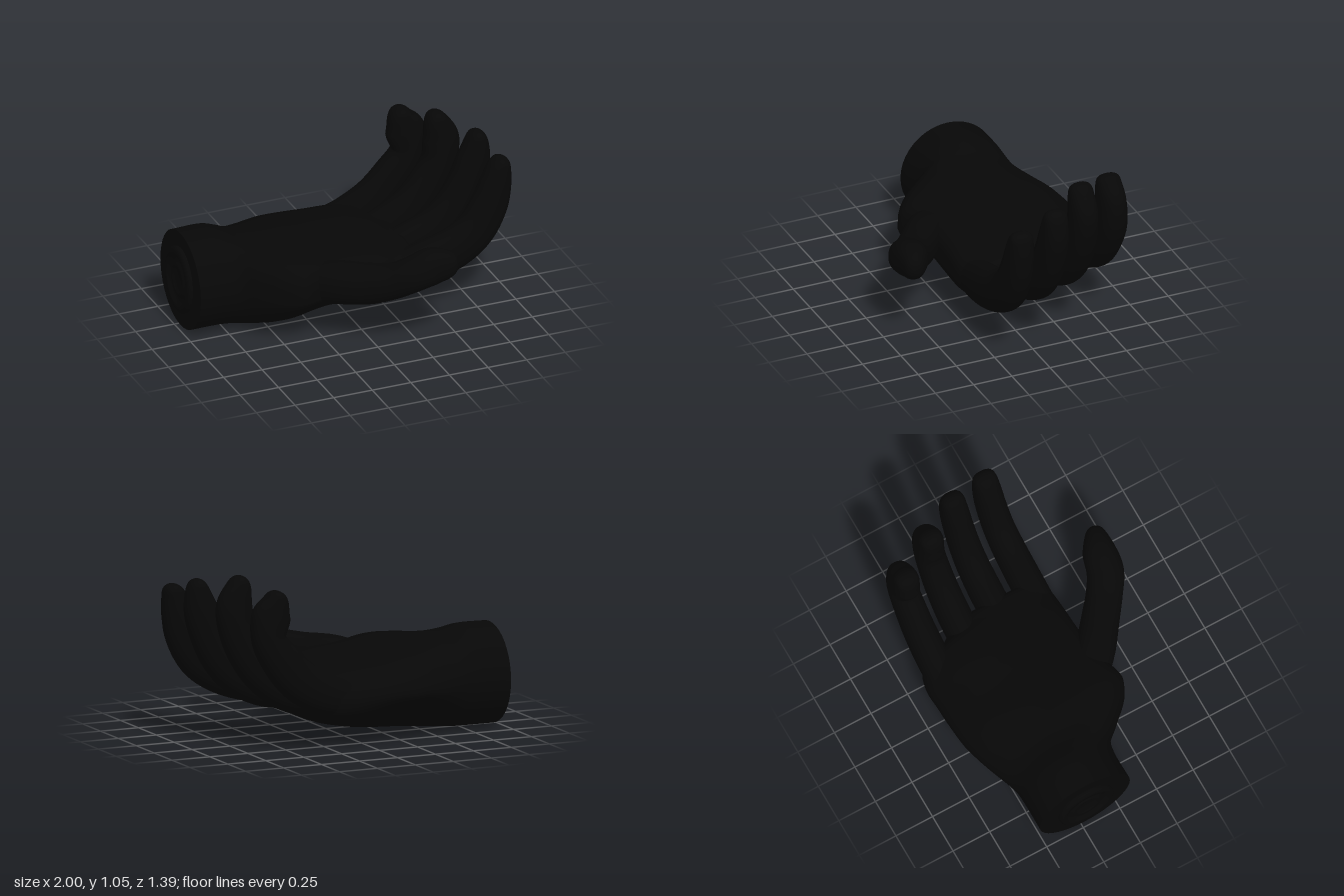
import * as THREE from 'three';

const black = new THREE.MeshStandardMaterial({ color: 0x070707 });
black.name = 'matte black';

const SIDES = 40;
const spow = (v, n) => Math.sign(v) * Math.pow(Math.abs(v), 2 / n);
const ringOf = (fn) => Array.from({ length: SIDES }, (_, j) => {
  const a = (j / SIDES) * Math.PI * 2;
  return fn(Math.cos(a), Math.sin(a));
});

// Skin closed rings of points into a smooth surface with flat end caps
function skin(rings) {
  const pos = [], index = [], n = SIDES;
  const push = (p) => pos.push(p.x, p.y, p.z);
  rings.forEach((r) => r.forEach(push));
  for (let i = 0; i < rings.length - 1; i++) {
    for (let j = 0; j < n; j++) {
      const k = (j + 1) % n, a = i * n + j, b = a + n, c = i * n + k, d = c + n;
      index.push(a, b, c, b, d, c);
    }
  }
  [rings[0], rings[rings.length - 1]].forEach((ring, end) => {
    const base = pos.length / 3;
    ring.forEach(push);
    push(ring.reduce((s, p) => s.add(p), new THREE.Vector3()).divideScalar(n));
    for (let j = 0; j < n; j++) {
      const k = (j + 1) % n;
      index.push(base + n, base + (end ? k : j), base + (end ? j : k));
    }
  });
  const g = new THREE.BufferGeometry();
  g.setAttribute('position', new THREE.Float32BufferAttribute(pos, 3));
  g.setIndex(index);
  g.computeVertexNormals();
  return g;
}

// Sweep an oval along a curve with a rounded tip;
// stations are [x, y, z, half width, half thickness]
function digit(stations, sideHint) {
  const path = new THREE.CatmullRomCurve3(stations.map((s) => new THREE.Vector3(s[0], s[1], s[2])));
  const size = new THREE.CatmullRomCurve3(
    stations.map((s, i) => new THREE.Vector3(s[3], s[4], i * 0.1)), false, 'catmullrom', 0.5);
  const rings = [];
  for (let i = 0; i <= 44; i++) {
    const t = 1 - Math.pow(1 - i / 44, 1.6);
    const p = path.getPoint(t), s = size.getPoint(t), T = path.getTangent(t);
    const S = sideHint.clone().addScaledVector(T, -T.dot(sideHint)).normalize();
    const N = S.clone().cross(T);
    const u = Math.max(0, (t - 0.88) / 0.12);
    const round = Math.max(0.05, Math.sqrt(1 - u ** 4));
    rings.push(ringOf((c, sn) => p.clone()
      .addScaledVector(S, s.x * round * spow(c, 2.3))
      .addScaledVector(N, s.y * round * spow(sn, 2.3))));
  }
  return skin(rings);
}

// Wrist and palm: [x, z min, z max, y bottom, y widest, y top,
// roundness power below, above on the little finger side, above on the thumb side]
const palmSections = [
  [-0.97, -0.53, 0.085, 0, 0.305, 0.613, 2, 2, 2],
  [-0.78, -0.53, 0.085, 0, 0.305, 0.613, 2, 2, 2],
  [-0.7, -0.535, 0.105, 0, 0.3, 0.587, 2, 2, 2.3],
  [-0.62, -0.56, 0.19, 0, 0.29, 0.557, 1.8, 2, 2.8],
  [-0.5, -0.61, 0.31, 0.003, 0.29, 0.547, 1.55, 2, 3.2],
  [-0.4, -0.645, 0.355, 0.01, 0.3, 0.54, 1.45, 2, 3.6],
  [-0.3, -0.67, 0.33, 0.02, 0.3, 0.53, 1.45, 2, 4],
  [-0.15, -0.685, 0.29, 0.035, 0.3, 0.507, 1.55, 2, 4],
  [0, -0.69, 0.275, 0.06, 0.29, 0.495, 1.9, 2, 4],
  [0.14, -0.69, 0.27, 0.093, 0.28, 0.482, 2.3, 2.1, 3.6],
  [0.25, -0.645, 0.265, 0.122, 0.28, 0.46, 2.7, 2.3, 3],
  [0.32, -0.47, 0.255, 0.15, 0.29, 0.44, 2.8, 2.6, 2.8],
  [0.38, -0.39, 0.235, 0.175, 0.3, 0.42, 2.8, 2.6, 2.6],
  [0.4, -0.36, 0.2, 0.205, 0.3, 0.39, 2.6, 2.6, 2.6],
];

function palmGeometry() {
  const rings = palmSections.map(([x, z0, z1, y0, ym, y1, nLow, nLittle, nThumb]) => ringOf((c, s) => {
    const n = s < 0 ? nLow : c < 0 ? nLittle : nThumb;
    return new THREE.Vector3(x,
      ym + (s >= 0 ? y1 - ym : ym - y0) * spow(s, n),
      (z0 + z1) / 2 + ((z1 - z0) / 2) * spow(c, n));
  }));
  // Smooth the sections lengthwise
  const rails = rings[0].map((_, j) => new THREE.CatmullRomCurve3(rings.map((r) => r[j])));
  const steps = (rings.length - 1) * 4;
  return skin(Array.from({ length: steps + 1 }, (_, i) => rails.map((r) => r.getPoint(i / steps))));
}

// Fingers: z position and a centre line of [x, y, half thickness]
const fingers = {
  indexFinger: [0.16, [[0.18, 0.28, 0.1], [0.42, 0.31, 0.134], [0.65, 0.383, 0.13], [0.775, 0.475, 0.125],
    [0.863, 0.625, 0.117], [0.905, 0.76, 0.097], [0.93, 0.86, 0.072], [0.96, 0.925, 0.04]]],
  middleFinger: [-0.085, [[0.18, 0.27, 0.1], [0.42, 0.315, 0.134], [0.62, 0.402, 0.13], [0.737, 0.52, 0.124],
    [0.818, 0.67, 0.115], [0.865, 0.81, 0.104], [0.885, 0.92, 0.074], [0.89, 1.0, 0.04]]],
  ringFinger: [-0.325, [[0.16, 0.27, 0.1], [0.38, 0.325, 0.134], [0.55, 0.43, 0.13], [0.667, 0.57, 0.122],
    [0.743, 0.72, 0.109], [0.757, 0.86, 0.112], [0.73, 0.97, 0.079], [0.71, 1.046, 0.04]]],
  littleFinger: [-0.565, [[0.1, 0.29, 0.1], [0.26, 0.325, 0.124], [0.42, 0.41, 0.13], [0.55, 0.545, 0.124],
    [0.642, 0.69, 0.105], [0.628, 0.83, 0.122], [0.6, 0.92, 0.082], [0.59, 0.987, 0.04]]],
};
const fingerWidths = [0.1, 0.101, 0.097, 0.092, 0.088, 0.084, 0.077, 0.066];

const thumb = [
  [-0.42, 0.3, 0.04, 0.1, 0.1], [-0.2, 0.37, 0.27, 0.12, 0.128], [-0.02, 0.39, 0.415, 0.115, 0.122],
  [0.1, 0.43, 0.51, 0.11, 0.106], [0.2, 0.485, 0.572, 0.112, 0.106], [0.31, 0.525, 0.594, 0.103, 0.112],
  [0.4, 0.53, 0.622, 0.072, 0.09], [0.46, 0.525, 0.648, 0.04, 0.055],
];

export function createModel() {
  const hand = new THREE.Group();
  hand.name = 'hand';
  const add = (name, geometry) => {
    const m = new THREE.Mesh(geometry, black);
    m.name = name;
    hand.add(m);
    return m;
  };

  add('palmAndWrist', palmGeometry());

  const zAxis = new THREE.Vector3(0, 0, 1);
  for (const [name, [z, line]] of Object.entries(fingers)) {
    add(name, digit(line.map(([x, y, b], i) => [x, y, z, fingerWidths[i], b]), zAxis));
  }
  add('thumb', digit(thumb, new THREE.Vector3(-0.5, 0, 0.85)));

  // Stepped coupling disc on the wrist end
  const profile = [[0.21, 0], [0.21, 0.018], [0.19, 0.03], [0.16, 0.03], [0.155, 0.01],
    [0.11, 0.01], [0.105, 0.022], [0.08, 0.022], [0.075, 0.008], [0, 0.008]];
  const coupling = add('wristCoupling',
    new THREE.LatheGeometry(profile.map(([r, h]) => new THREE.Vector2(r, h)), 40));
  coupling.rotation.z = Math.PI / 2;
  coupling.scale.z = 0.88;
  coupling.position.set(-0.97, 0.31, -0.22);

  return hand;
}
